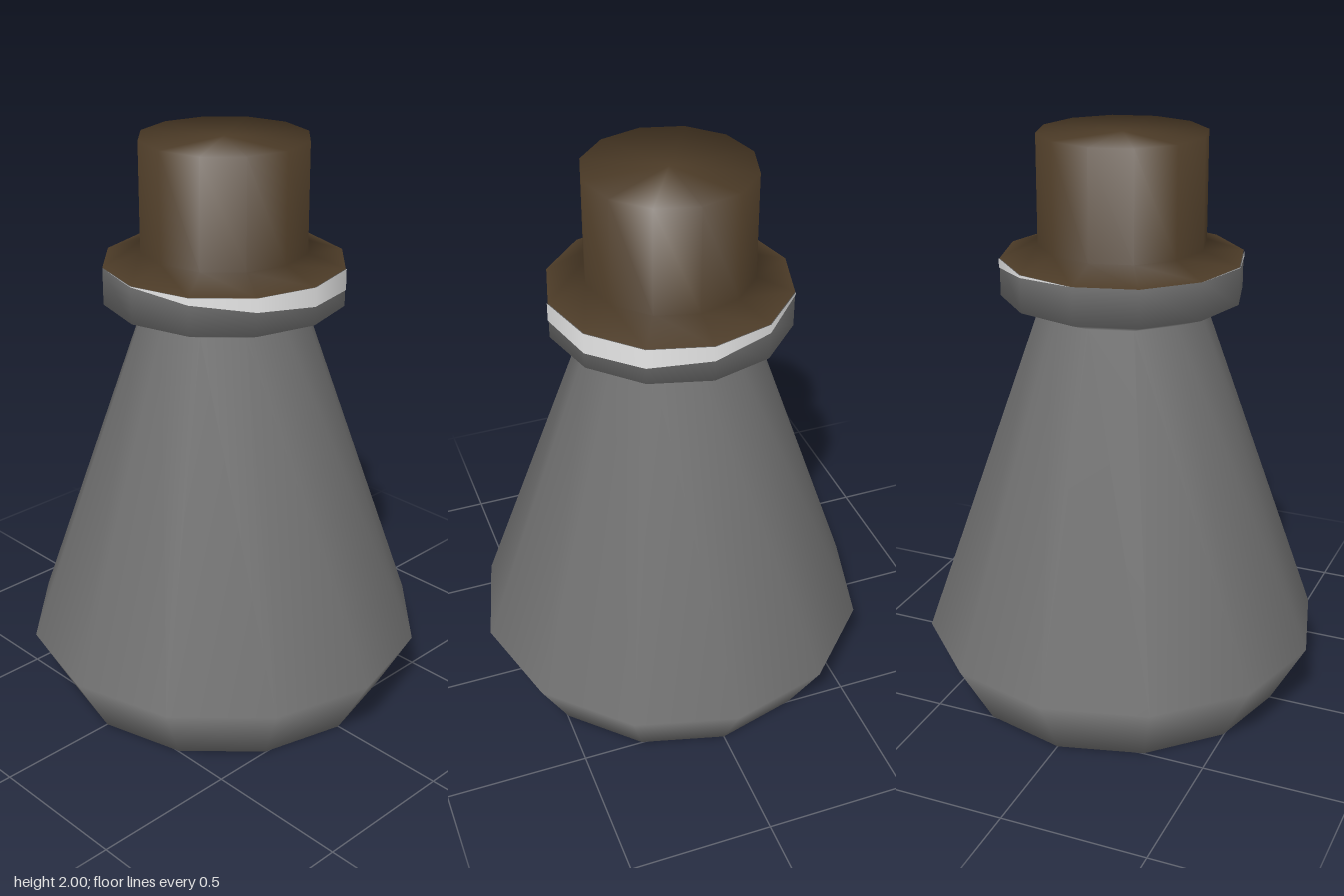
import * as THREE from 'three';

const SIDES = 12;

export function createModel() {
  const glass = new THREE.MeshStandardMaterial({ color: 0x757575 });
  glass.name = 'grey glass';
  const cork = new THREE.MeshStandardMaterial({ color: 0x4c3b27 });
  cork.name = 'brown cork';
  const white = new THREE.MeshStandardMaterial({ color: 0xf6f6f6 });
  white.name = 'white residue';

  const group = new THREE.Group();
  group.name = 'corkedFlask';

  // Twelve-sided turned part from [radius, height] pairs, bottom to top
  function addTurned(name, profile, material) {
    const points = profile.map(([r, y]) => new THREE.Vector2(r, y));
    const mesh = new THREE.Mesh(new THREE.LatheGeometry(points, SIDES), material);
    mesh.name = name;
    group.add(mesh);
    return mesh;
  }

  // Conical body with bevelled foot, narrow neck and flared lip
  addTurned('flaskBody', [
    [0, 0], [0.575, 0], [0.7, 0.225], [0.285, 1.41], [0.412, 1.46], [0.412, 1.588],
  ], glass);

  // Stopper: sloping shoulder, straight plug, flat top
  addTurned('corkStopper', [
    [0.412, 1.588], [0.285, 1.63], [0.285, 2], [0, 2],
  ], cork);

  // Thin band under the stopper; its lower edge tilts down at the front left
  const top = 1.588;
  const band = addTurned('lipResidue', [[0.415, 1.5], [0.415, top]], white);
  const pos = band.geometry.attributes.position;
  for (let i = 0; i < pos.count; i++) {
    if (pos.getY(i) > 1.55) continue;
    const angle = Math.atan2(pos.getX(i), pos.getZ(i));
    pos.setY(i, Math.min(top, 1.56 - 0.045 * Math.cos(angle - 0.61)));
  }

  return group;
}
